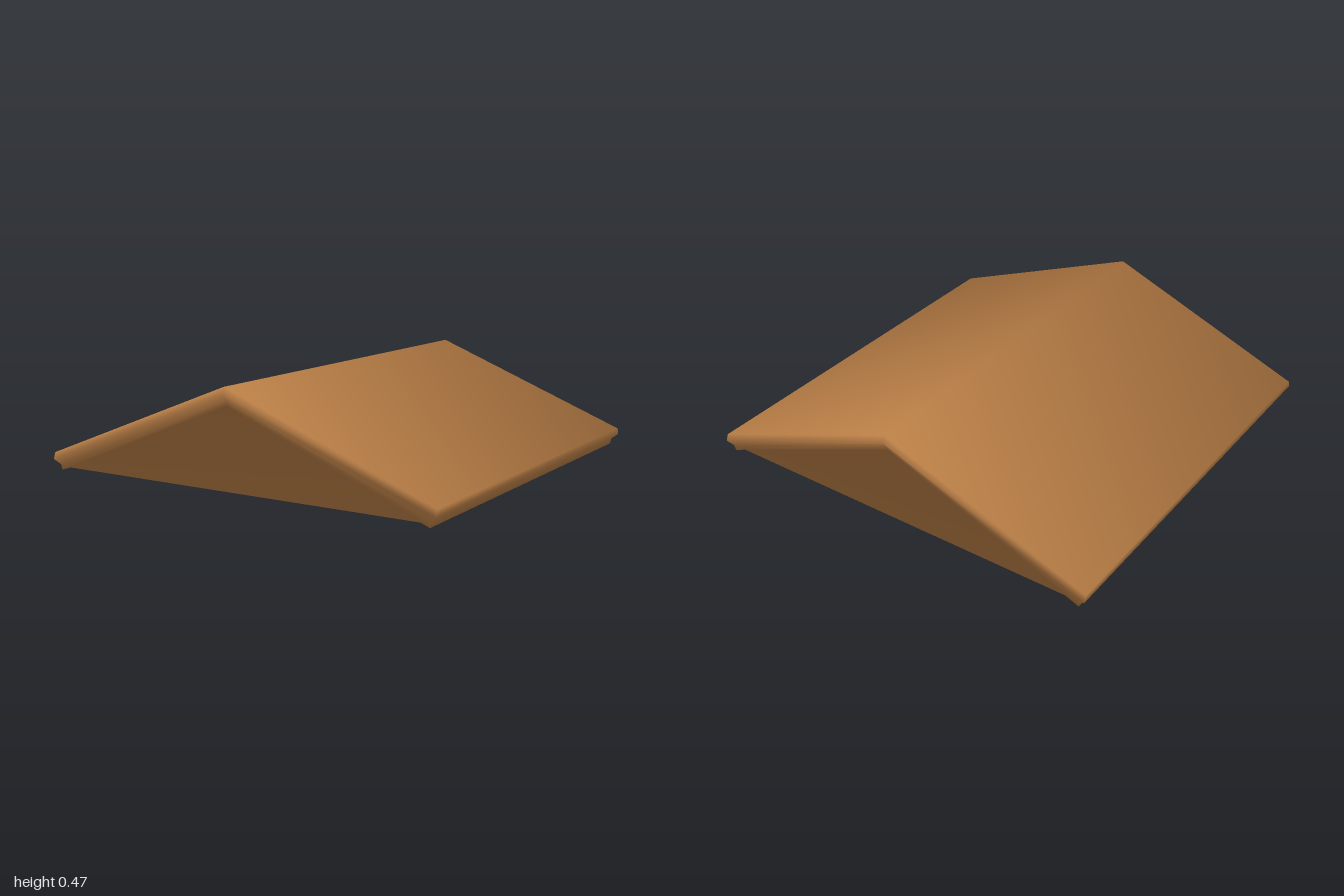
import * as THREE from 'three';

// Rings from the top skin down to the recessed gables:
// [eave x, eave y, eave z, ridge y, ridge z]
const RINGS = [
  [1.0, 0.08, 0.972, 0.47, 0.985],
  [1.0, 0.05, 0.984, 0.44, 1.0],
  [0.97, 0.025, 0.968, 0.415, 0.975],
  [0.965, 0.0, 0.966, 0.39, 0.97],
  [0.95, 0.012, 0.952, 0.387, 0.952],
];

// Six corners per ring: front ridge, left eave, back ridge, right eave
function ringPoints([x, y, z, ridgeY, ridgeZ]) {
  return [
    [0, ridgeY, ridgeZ], [x, y, z], [x, y, -z],
    [0, ridgeY, -ridgeZ], [-x, y, -z], [-x, y, z],
  ].map((p) => new THREE.Vector3(...p));
}

const quad = (a, b, c, d) => [a, b, c, a, c, d];

// Every face counts equally in the vertex normals, giving soft rolled edges
function smoothGeometry(points, index) {
  const normals = points.map(() => new THREE.Vector3());
  const tri = new THREE.Triangle();
  const n = new THREE.Vector3();
  for (let i = 0; i < index.length; i += 3) {
    const ids = index.slice(i, i + 3);
    tri.set(...ids.map((k) => points[k])).getNormal(n);
    ids.forEach((k) => normals[k].add(n));
  }
  const geometry = new THREE.BufferGeometry().setFromPoints(points);
  const flat = normals.flatMap((v) => v.normalize().toArray());
  geometry.setAttribute('normal', new THREE.Float32BufferAttribute(flat, 3));
  geometry.setIndex(index);
  return geometry;
}

function flatGeometry(points, index) {
  const geometry = new THREE.BufferGeometry().setFromPoints(index.map((k) => points[k]));
  geometry.computeVertexNormals();
  return geometry;
}

export function createModel() {
  const wood = new THREE.MeshStandardMaterial({ color: 0xb87d45, side: THREE.DoubleSide });
  wood.name = 'warm brown';
  const group = new THREE.Group();
  group.name = 'gableRoof';
  const add = (name, geometry) => {
    const mesh = new THREE.Mesh(geometry, wood);
    mesh.name = name;
    group.add(mesh);
  };

  const points = RINGS.flatMap(ringPoints);
  const last = (RINGS.length - 1) * 6;

  // Two slopes, the stepped moulding round the edge, and both gable walls
  const shell = [...quad(0, 1, 2, 3), ...quad(3, 4, 5, 0)];
  for (let r = 0; r < RINGS.length - 1; r++) {
    for (let i = 0; i < 6; i++) {
      const j = (i + 1) % 6;
      const up = r * 6, low = up + 6;
      shell.push(...quad(low + i, low + j, up + j, up + i));
    }
  }
  shell.push(last, last + 5, last + 1, last + 3, last + 2, last + 4);
  add('roofShell', smoothGeometry(points, shell));

  // Flat ceiling planes, open below
  const ceiling = [...quad(0, 3, 2, 1), ...quad(0, 5, 4, 3)].map((k) => k + last);
  add('roofUnderside', flatGeometry(points, ceiling));

  return group;
}
